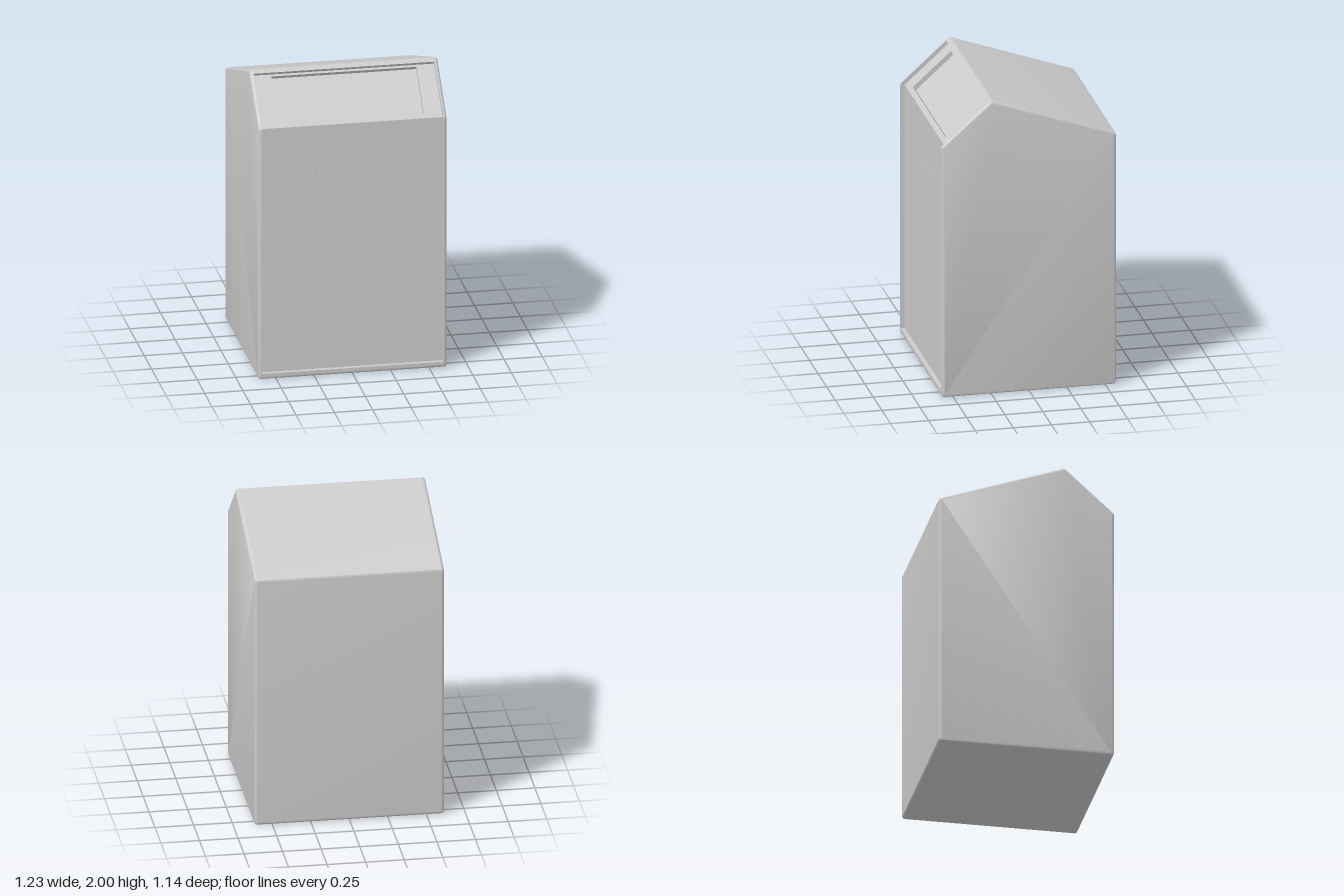
import * as THREE from 'three';
import { toCreasedNormals } from 'three/addons/utils/BufferGeometryUtils.js';

const HALF = 0.615, INNER = 0.59;          // outer half width, half width inside the frame
const PANEL_Z = 0.547, INSET = 0.025;      // recess of the front inside the frame
const POCKET = 0.03;                       // depth of the sloped window
const V = (z, y) => new THREE.Vector2(z, y);

// Side profile corners as (z, y)
const frontBottom = V(0.575, 0), frontFold = V(0.575, 1.71), peak = V(0.25, 2.003);
const backTop = V(-0.57, 1.715), backBottom = V(-0.57, 0);
const tilt = Math.atan2(frontFold.x - peak.x, peak.y - frontFold.y);
const normal = V(Math.cos(tilt), Math.sin(tilt));
const inward = (p, d) => p.clone().addScaledVector(normal, -d);

// Closed shape; each corner is [point, rounding radius]
function roundedShape(corners) {
  const shape = new THREE.Shape(), n = corners.length;
  corners.forEach(([p, r], i) => {
    const a = corners[(i + n - 1) % n][0].clone().sub(p).normalize();
    const b = corners[(i + 1) % n][0].clone().sub(p).normalize();
    const cut = r * Math.tan((Math.PI - Math.acos(a.dot(b))) / 2);
    const start = p.clone().addScaledVector(a, cut), end = p.clone().addScaledVector(b, cut);
    if (i === 0) shape.moveTo(start.x, start.y); else shape.lineTo(start.x, start.y);
    if (r > 0) shape.quadraticCurveTo(p.x, p.y, end.x, end.y);
  });
  shape.closePath();
  return shape;
}

function rectPath(path, x, y0, y1) {
  path.moveTo(-x, y0).lineTo(x, y0).lineTo(x, y1).lineTo(-x, y1).closePath();
  return path;
}

export function createModel() {
  const group = new THREE.Group();
  const material = new THREE.MeshStandardMaterial({ color: 0xcccccc });
  const add = (name, geometry) => {
    const mesh = new THREE.Mesh(geometry, material);
    mesh.name = name;
    group.add(mesh);
    return mesh;
  };

  // Key points of the recessed front
  const foldY = (normal.dot(frontFold) - INSET - normal.x * PANEL_Z) / normal.y;
  const panelFold = V(PANEL_Z, foldY);
  const frameTop = V(0.275, frontFold.y + (frontFold.x - 0.275) / Math.tan(tilt));
  const slopeTop = inward(frameTop, INSET);
  const slopeLength = slopeTop.distanceTo(panelFold);

  // Main body between the side walls, with frame lips at bottom and top
  const core = new THREE.ExtrudeGeometry(roundedShape([
    [frontBottom, 0.022], [V(0.575, 0.04), 0], [V(PANEL_Z, 0.04), 0], [panelFold, 0],
    [inward(panelFold, POCKET), 0], [inward(slopeTop, POCKET), 0], [frameTop, 0],
    [peak, 0.025], [backTop, 0.022], [backBottom, 0.022],
  ]), { depth: INNER * 2, bevelEnabled: false, curveSegments: 6 });
  core.rotateY(-Math.PI / 2).translate(INNER, 0, 0);
  add('body', toCreasedNormals(core, 0.6));

  // Side walls: rounded outer edge, flat inner face
  const wallShape = roundedShape([
    [frontBottom, 0.022], [frontFold, 0.025], [peak, 0.025], [backTop, 0.022], [backBottom, 0.022],
  ]);
  for (const s of [1, -1]) {
    const wall = new THREE.ExtrudeGeometry(wallShape, {
      depth: 0.005, bevelThickness: 0.02, bevelSize: 0.02, bevelOffset: -0.02,
      bevelSegments: 4, curveSegments: 6,
    });
    wall.rotateY(-Math.PI / 2).translate(s > 0 ? HALF - 0.02 : -HALF + 0.025, 0, 0);
    const pos = wall.attributes.position;
    for (let i = 0; i < pos.count; i++) {
      pos.setX(i, s * Math.max(s * pos.getX(i), INNER));
    }
    add(s > 0 ? 'leftWall' : 'rightWall', toCreasedNormals(wall, 0.6));
  }

  // Sloped plate with its window opening
  const plateShape = rectPath(new THREE.Shape(), INNER, 0, slopeLength);
  plateShape.holes.push(rectPath(new THREE.Path(), 0.474, 0.036, slopeLength - 0.015));
  const plate = add('slopedWindowFrame',
    new THREE.ExtrudeGeometry(plateShape, { depth: POCKET, bevelEnabled: false }));
  const base = inward(panelFold, POCKET);
  plate.position.set(0, base.y, base.x);
  plate.rotation.x = -tilt;

  // Thin panel on the front
  add('frontPanel', new THREE.BoxGeometry(0.524, 0.876, 0.006))
    .position.set(0, 0.947, PANEL_Z - 0.001);

  return group;
}
